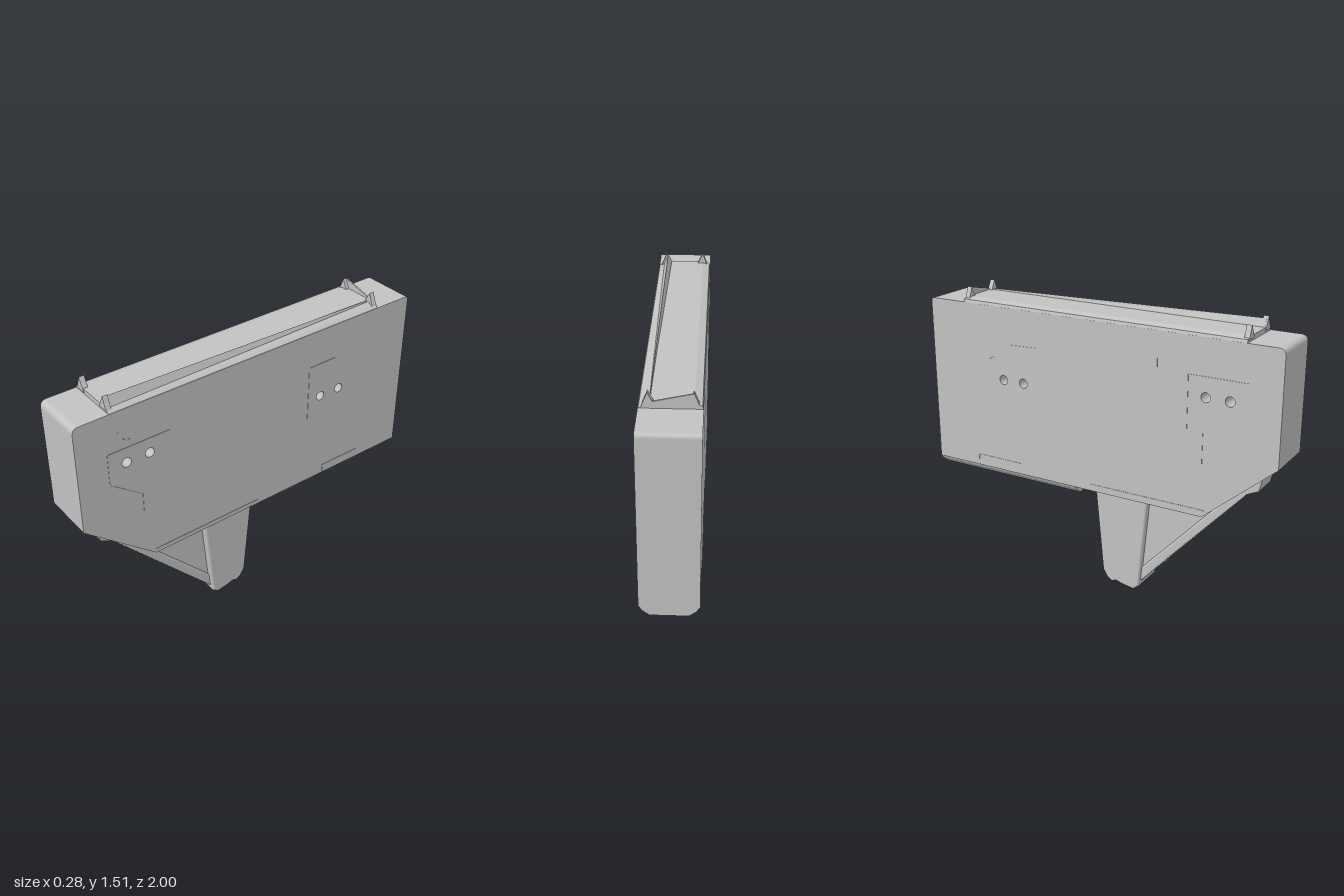
import * as THREE from 'three';

const grey = new THREE.MeshStandardMaterial({ color: 0xc2c2c2 });
grey.name = 'plain grey';

export function createModel() {
  const model = new THREE.Group();
  const add = (name, geometry) => {
    const mesh = new THREE.Mesh(geometry, grey);
    mesh.name = name;
    model.add(mesh);
    return mesh;
  };
  const polygon = pts => new THREE.Shape(pts.map(p => new THREE.Vector2(...p)));

  // Side profile in (z, y), extruded across x from -half to +half
  const across = (shape, half, bevel = 0) => {
    const g = new THREE.ExtrudeGeometry(shape, {
      depth: 2 * (half - bevel), curveSegments: 12, bevelEnabled: bevel > 0,
      bevelThickness: bevel, bevelSize: bevel, bevelOffset: -bevel, bevelSegments: 4,
    });
    return g.translate(0, 0, bevel - half).rotateY(-Math.PI / 2);
  };

  // Cross-section in (x, y), extruded from z0 to z1
  const along = (pts, z0, z1) =>
    new THREE.ExtrudeGeometry(polygon(pts), { depth: z1 - z0, bevelEnabled: false }).translate(0, 0, z0);

  // Main slab with rounded top corners, sloped nose and four through holes
  const body = new THREE.Shape();
  body.moveTo(-1, 0.535);
  body.lineTo(0.62, 0.535);
  body.lineTo(1, 0.86);
  body.lineTo(1, 1.405);
  body.quadraticCurveTo(1, 1.44, 0.965, 1.44);
  body.lineTo(-0.98, 1.44);
  body.quadraticCurveTo(-1, 1.44, -1, 1.42);
  body.closePath();
  for (const [z, y] of [[0.745, 1.15], [0.62, 1.15], [-0.42, 1.05], [-0.545, 1.05]]) {
    const hole = new THREE.Path();
    hole.absarc(z, y, 0.025, 0, Math.PI * 2, true);
    body.holes.push(hole);
  }
  add('body', across(body, 0.14));

  // Chamfered rail under the rear half
  add('lowerRail', along([[-0.138, 0.54], [-0.125, 0.515], [-0.09, 0.487], [0.09, 0.487], [0.125, 0.515], [0.138, 0.54]], -1, -0.11));

  // Grip with softened edges and an uneven foot
  add('grip', across(polygon([
    [-0.012, 0.56], [0.035, 0.07], [0.06, 0.03], [0.09, 0.012], [0.115, 0.022], [0.155, 0.01],
    [0.22, 0.0], [0.25, 0.025], [0.3, 0.56],
  ]), 0.1, 0.012));

  // Sloping brace in front of the grip: recessed web, edge bar and upper nub
  add('braceWeb', across(polygon([[0.2, 0.08], [0.25, 0.07], [0.8, 0.68], [0.7, 0.62], [0.6, 0.56], [0.2, 0.56]]), 0.066));
  add('braceBar', across(polygon([[0.2, 0.04], [0.255, 0.05], [0.83, 0.68], [0.76, 0.67], [0.22, 0.09]]), 0.076, 0.01));
  add('braceNub', across(polygon([[0.78, 0.67], [0.82, 0.675], [0.885, 0.705], [0.9, 0.77], [0.87, 0.76], [0.76, 0.67]]), 0.075));
  const stud = add('braceStud', new THREE.OctahedronGeometry(0.03));
  stud.position.set(0, 0.17, 0.355);
  stud.scale.set(1, 0.6, 0.6);

  // Low deck on top
  add('topDeck', along([[-0.14, 1.438], [0.14, 1.438], [0.12, 1.452], [0.09, 1.465], [-0.1, 1.465], [-0.135, 1.455]], -0.785, 0.815));

  // Four pointed tabs at the deck ends
  for (const x of [-0.095, 0.095]) {
    for (const z of [0.803, -0.773]) {
      const s = Math.sign(x);
      add('topTab', along([[x - 0.03, 1.45], [x + 0.03, 1.45], [x + 0.004 * s, 1.515]], z - 0.012, z + 0.015));
    }
  }
  // Thin slanted plate joining the tabs at each end
  add('rearPlate', along([[-0.12, 1.46], [0.08, 1.46], [0.08, 1.472], [-0.097, 1.512]], -0.785, -0.777));

  // Tapering fin along one edge, shrinking toward the rear
  const fin = along([[0.065, 1.45], [0.115, 1.45], [0.092, 1.505]], -0.75, 0.81);
  const p = fin.attributes.position;
  for (let i = 0; i < p.count; i++) {
    if (p.getZ(i) < 0) p.setXYZ(i, 0.09 + (p.getX(i) - 0.09) * 0.2, p.getY(i) > 1.48 ? 1.472 : 1.45, p.getZ(i));
  }
  fin.computeVertexNormals();
  add('topFin', fin);

  // Fine panel seams on both flanks, as (z, y) paths
  const seams = {
    1: [
      [[-0.51, 1.245], [-0.34, 1.245], [-0.34, 0.94]],
      [[0.51, 1.23], [0.84, 1.23], [0.84, 1.06], [0.67, 0.93], [0.67, 0.825]],
      [[0.78, 1.33], [0.765, 1.285], [0.72, 1.27]],
      [[-0.02, 0.56], [0.62, 0.56]],
      [[-0.465, 0.54], [-0.465, 0.585], [-0.71, 0.585]],
    ],
    [-1]: [
      [[-0.33, 1.25], [-0.5, 1.245], [-0.63, 1.155]],
      [[0.84, 1.25], [0.525, 1.25], [0.525, 0.98]],
      [[0.36, 1.38], [0.36, 1.26]],
      [[0.61, 0.97], [0.61, 0.81]],
      [[0.63, 0.57], [-0.01, 0.57]],
      [[-0.73, 0.55], [-0.73, 0.595], [-0.455, 0.595]],
    ],
  };
  for (const side of [1, -1]) {
    for (const path of seams[side]) {
      for (let i = 1; i < path.length; i++) {
        const [z0, y0] = path[i - 1], [z1, y1] = path[i];
        const seam = add('panelSeam', new THREE.BoxGeometry(0.004, 0.005, Math.hypot(z1 - z0, y1 - y0)));
        seam.position.set(side * 0.14, (y0 + y1) / 2, (z0 + z1) / 2);
        seam.rotation.x = -Math.atan2(y1 - y0, z1 - z0);
      }
    }
  }
  return model;
}
